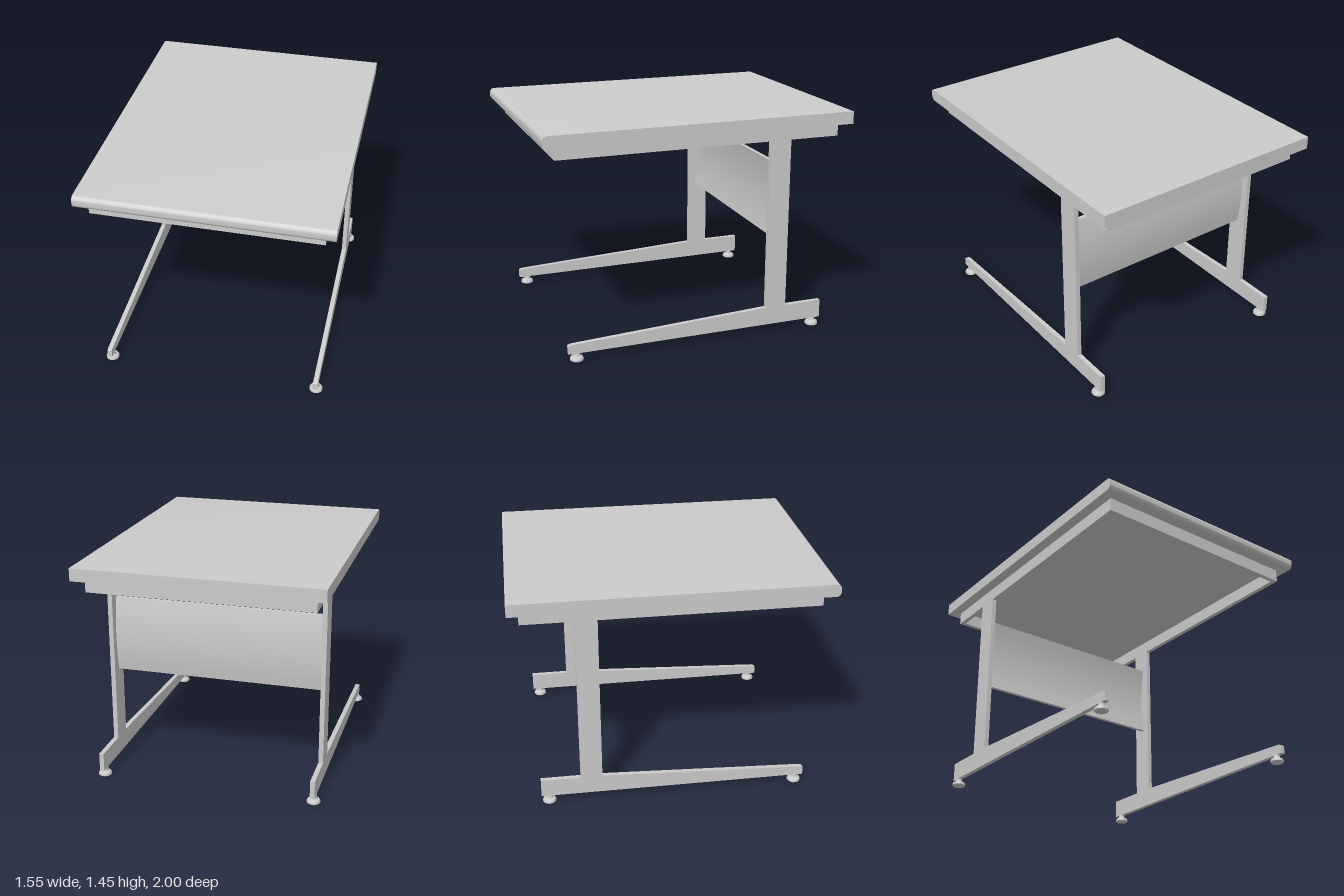
import * as THREE from 'three';
import { toCreasedNormals } from 'three/addons/utils/BufferGeometryUtils.js';

const material = new THREE.MeshStandardMaterial({ color: 0xcccccc });

function addMesh(parent, name, geometry) {
  const mesh = new THREE.Mesh(geometry, material);
  mesh.name = name;
  parent.add(mesh);
  return mesh;
}

// Extrude a side profile drawn in (z, y) along x, centred on x = 0.
function extrudeSide(shape, width) {
  const g = new THREE.ExtrudeGeometry(shape, { depth: width, bevelEnabled: false, curveSegments: 8 });
  g.translate(0, 0, -width / 2);
  g.rotateY(-Math.PI / 2); // shape x becomes +z
  return toCreasedNormals(g, 0.6);
}

function polygon(points) {
  return new THREE.Shape(points.map(([z, y]) => new THREE.Vector2(z, y)));
}

export function createModel() {
  const desk = new THREE.Group();
  desk.name = 'desk';

  // Table top with a rounded front edge
  const top = new THREE.Shape();
  top.moveTo(-1, 1.37);
  top.lineTo(0.975, 1.37);
  top.bezierCurveTo(0.985, 1.37, 1, 1.385, 1, 1.397);
  top.lineTo(1, 1.423);
  top.bezierCurveTo(1, 1.435, 0.985, 1.45, 0.975, 1.45);
  top.lineTo(-1, 1.45);
  addMesh(desk, 'tableTop', extrudeSide(top, 1.55));

  // Rectangular rail frame, open in the middle
  const railZ = [-0.93, 0.915], railX = 0.708, wall = 0.03, railY = 1.3275, railH = 0.085;
  const railLength = railZ[1] - railZ[0];
  for (const side of [-1, 1]) {
    addMesh(desk, side > 0 ? 'leftRail' : 'rightRail', new THREE.BoxGeometry(wall, railH, railLength))
      .position.set(side * (railX - wall / 2), railY, (railZ[0] + railZ[1]) / 2);
    addMesh(desk, side > 0 ? 'frontRail' : 'backRail', new THREE.BoxGeometry(2 * (railX - wall), railH, wall))
      .position.set(0, railY, side > 0 ? railZ[1] - wall / 2 : railZ[0] + wall / 2);
  }

  // Upright and tapered foot in one outline
  const legShape = polygon([
    [-0.86, 0.05], [0.865, 0.05], [0.865, 0.103], [0.845, 0.111], [-0.465, 0.17],
    [-0.465, 1.285], [-0.605, 1.285], [-0.605, 0.17], [-0.86, 0.17],
  ]);
  const legGeometry = extrudeSide(legShape, 0.03);

  // Turned levelling glide
  const glideProfile = [
    [0, 0], [0.036, 0], [0.043, 0.006], [0.043, 0.015], [0.037, 0.025],
    [0.024, 0.03], [0.02, 0.038], [0.02, 0.052], [0, 0.052],
  ].map(([r, y]) => new THREE.Vector2(r, y));
  const glideGeometry = toCreasedNormals(new THREE.LatheGeometry(glideProfile, 24), 0.6);

  for (const side of [-1, 1]) {
    const leg = new THREE.Group();
    leg.name = side > 0 ? 'leftLeg' : 'rightLeg';
    leg.position.x = side * 0.693;
    addMesh(leg, 'uprightAndFoot', legGeometry);
    for (const z of [-0.81, 0.81]) {
      addMesh(leg, z > 0 ? 'frontGlide' : 'backGlide', glideGeometry).position.z = z;
    }
    desk.add(leg);
  }

  // Modesty panel, bowed gently towards the back
  const panel = new THREE.Shape();
  panel.moveTo(-0.535, 0.64);
  panel.lineTo(-0.51, 0.64);
  panel.quadraticCurveTo(-0.56, 0.8875, -0.51, 1.135);
  panel.lineTo(-0.535, 1.135);
  panel.quadraticCurveTo(-0.585, 0.8875, -0.535, 0.64);
  addMesh(desk, 'modestyPanel', extrudeSide(panel, 1.356));

  return desk;
}
